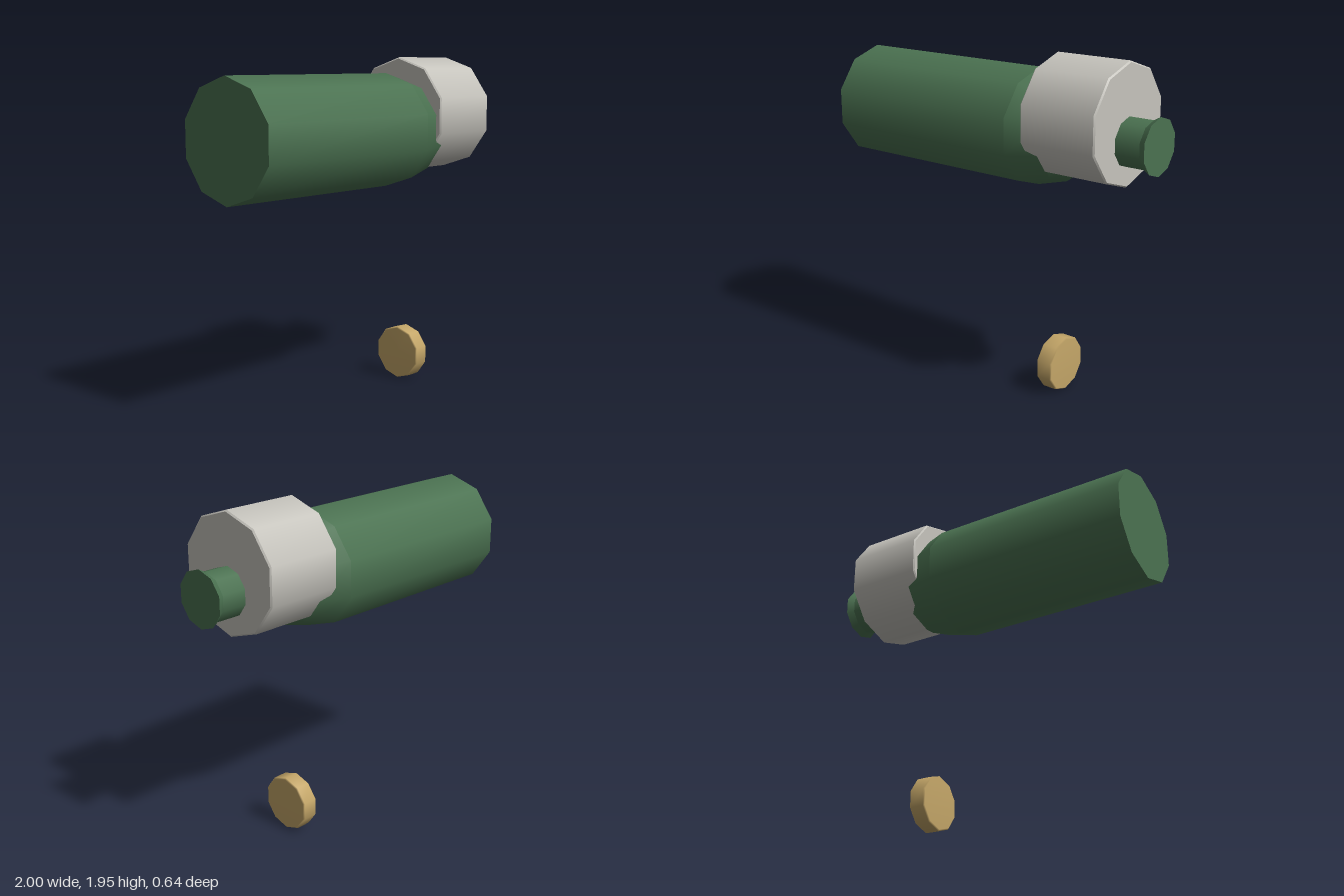
import * as THREE from 'three';

const SIDES = 10;

function material(name, color) {
  const m = new THREE.MeshStandardMaterial({ color });
  m.name = name;
  return m;
}

// Turned part along the x axis: each strip is a smooth run of [x, radius],
// and separate strips meet in sharp edges.
function turned(name, mat, y, strips) {
  const group = new THREE.Group();
  group.name = name;
  group.position.y = y;
  strips.forEach((strip, i) => {
    const points = strip.map(([x, r]) => new THREE.Vector2(r, x));
    const geometry = new THREE.LatheGeometry(points, SIDES, Math.PI / 2);
    geometry.rotateZ(-Math.PI / 2);
    const mesh = new THREE.Mesh(geometry, mat);
    mesh.name = `${name}Surface${i + 1}`;
    group.add(mesh);
  });
  return group;
}

export function createModel() {
  const green = material('bottle green', 0x4b7251);
  const grey = material('label grey', 0xc6c4bd);
  const gold = material('cork tan', 0xc4a668);
  const model = new THREE.Group();
  model.name = 'bottleSet';

  // Bottle lying on its side: base, body with shoulder and neck, lip, mouth
  model.add(turned('bottle', green, 1.53, [
    [[-1, 0], [-1, 0.33]],
    [[-1, 0.33], [0.24, 0.33]],
    [[0.24, 0.33], [0.43, 0.28], [0.48, 0.245], [0.6, 0.135]],
    [[0.6, 0.135], [0.96, 0.135]],
    [[0.96, 0.135], [1, 0.157]],
    [[1, 0.157], [1, 0]],
  ]));

  // Wide band around the shoulder, slightly above the bottle's axis
  model.add(turned('band', grey, 1.617, [
    [[0.35, 0], [0.35, 0.327]],
    [[0.35, 0.327], [0.358, 0.335]],
    [[0.358, 0.335], [0.807, 0.335]],
    [[0.807, 0.335], [0.815, 0.327]],
    [[0.815, 0.327], [0.815, 0]],
  ]));

  // Small stopper disc with soft rims
  model.add(turned('stopper', gold, 0.16, [
    [[0.35, 0], [0.35, 0.152], [0.358, 0.16], [0.442, 0.16], [0.45, 0.152], [0.45, 0]],
  ]));

  return model;
}
